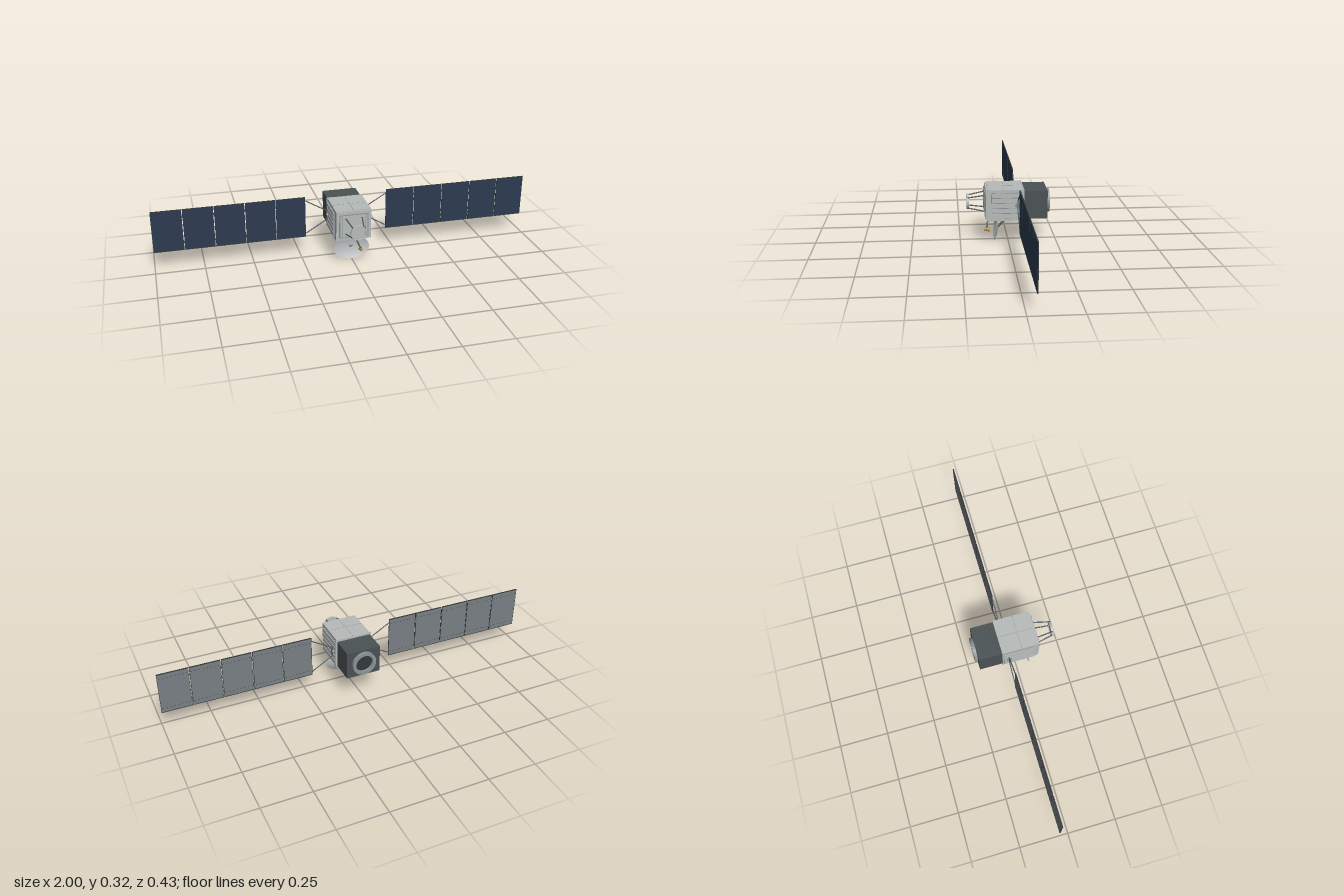
import * as THREE from 'three';

const mat = (name, color, side = THREE.FrontSide) => {
  const m = new THREE.MeshStandardMaterial({ color, side });
  m.name = name;
  return m;
};

export function createModel() {
  const light = mat('light grey hull', 0xb6bbba);
  const mid = mat('mid grey metal', 0x8c9498);
  const dark = mat('dark grey housing', 0x4b5254);
  const strutMat = mat('strut grey', 0x565c60);
  const seamMat = mat('seam grey', 0x34393c);
  const navy = mat('solar cell blue', 0x2c3b50);
  const backing = mat('panel backing grey', 0x787f83);
  const gold = mat('gold', 0xb58a45);
  const dishMat = mat('dish grey', 0xb9bdbd, THREE.DoubleSide);

  const model = new THREE.Group();
  model.name = 'satellite';
  const CY = 0.21; // height of the main axis
  const WZ = -0.045; // depth of the wing plane

  const add = (parent, name, geometry, material, x = 0, y = 0, z = 0) => {
    const mesh = new THREE.Mesh(geometry, material);
    mesh.name = name;
    mesh.position.set(x, y, z);
    parent.add(mesh);
    return mesh;
  };
  const box = (parent, name, material, w, h, d, x, y, z) =>
    add(parent, name, new THREE.BoxGeometry(w, h, d), material, x, y, z);
  // Round rod between two points
  const rod = (parent, name, material, a, b, r0, r1 = r0, sides = 10) => {
    const p = new THREE.Vector3(...a), q = new THREE.Vector3(...b);
    const dir = q.clone().sub(p);
    const mesh = add(parent, name, new THREE.CylinderGeometry(r1, r0, dir.length(), sides), material);
    mesh.position.copy(p).add(q).multiplyScalar(0.5);
    mesh.quaternion.setFromUnitVectors(new THREE.Vector3(0, 1, 0), dir.normalize());
    return mesh;
  };
  // Flat-walled ring with its axis along z
  const ring = (name, material, rOut, rIn, depth, z) => {
    const shape = new THREE.Shape().absarc(0, 0, rOut, 0, Math.PI * 2);
    shape.holes.push(new THREE.Path().absarc(0, 0, rIn, 0, Math.PI * 2, true));
    const g = new THREE.ExtrudeGeometry(shape, { depth, bevelEnabled: false, curveSegments: 32 });
    return add(model, name, g, material, 0, CY, z);
  };

  // Main body with front plates and rear flange
  const body = new THREE.Group();
  body.name = 'body';
  model.add(body);
  box(body, 'hull', light, 0.184, 0.164, 0.182, 0, CY, 0.019);
  box(body, 'frontPlate', light, 0.176, 0.156, 0.01, 0, CY, 0.113);
  box(body, 'frontCover', mid, 0.15, 0.126, 0.004, 0, CY, 0.1195);
  box(body, 'frontPanel', light, 0.142, 0.118, 0.001, 0, CY, 0.122);
  box(body, 'rearFlange', light, 0.194, 0.166, 0.007, 0, CY, -0.0745);
  for (const s of [-1, 1]) {
    for (const x of [0.06, 0.074])
      box(body, 'frontRib', mid, 0.003, 0.12, 0.004, s * x, CY, 0.122);
    // Ribbed radiators on both sides
    box(body, 'sideRadiator', mid, 0.006, 0.134, 0.158, s * 0.093, CY, 0.009);
    for (let i = 0; i < 5; i++)
      box(body, 'radiatorStrip', light, 0.005, 0.022, 0.156, s * 0.0975, CY + (i - 2) * 0.027, 0.009);
    for (const y of [-1, 1])
      box(body, 'flangeLug', light, 0.024, 0.016, 0.007, s * 0.082, CY + y * 0.076, -0.0745);
    // Seams on the roof and the floor
    box(body, 'longSeam', mid, 0.0015, 0.0008, 0.18, 0, CY + s * 0.0823, 0.019);
    box(body, 'crossSeam', mid, 0.182, 0.0008, 0.0015, 0, CY + s * 0.0823, 0.025);
  }

  // Rear housing with its open ring
  box(model, 'rearHousing', dark, 0.18, 0.147, 0.121, 0, CY, -0.1385);
  ring('rearRing', mid, 0.063, 0.046, 0.016, -0.2145);
  add(model, 'rearRingFloor', new THREE.CircleGeometry(0.047, 32), seamMat, 0, CY, -0.1996).rotation.y = Math.PI;

  // Front ring on four struts
  ring('dockingRing', light, 0.04, 0.034, 0.0125, 0.2025);
  add(model, 'dockingRingPlate', new THREE.CylinderGeometry(0.035, 0.035, 0.004, 32), light, 0, CY, 0.207).rotation.x = Math.PI / 2;
  for (const sx of [-1, 1])
    for (const sy of [-1, 1])
      rod(model, 'ringStrut', strutMat, [sx * 0.043, CY + sy * 0.043, 0.118], [sx * 0.028, CY + sy * 0.027, 0.209], 0.0033);

  // Solar wings
  for (const s of [-1, 1]) {
    const wing = new THREE.Group();
    wing.name = s > 0 ? 'leftWing' : 'rightWing';
    model.add(wing);
    rod(wing, 'wingHub', mid, [s * 0.09, CY, WZ], [s * 0.106, CY, WZ], 0.0115, 0.0115, 20);
    box(wing, 'hubBracket', strutMat, 0.005, 0.05, 0.005, s * 0.104, CY, WZ);
    for (const sy of [-1, 1])
      rod(wing, 'yokeArm', strutMat, [s * 0.102, CY + sy * 0.024, WZ], [s * 0.217, CY + sy * 0.092, WZ], 0.0028);

    const pitch = 0.157, w = pitch - 0.004, h = 0.22;
    for (let i = 0; i < 5; i++) {
      const x = s * (0.215 + pitch * (i + 0.5));
      box(wing, 'panelBack', backing, w, h, 0.002, x, CY + 0.001, WZ - 0.001);
      box(wing, 'solarCells', navy, w, h, 0.002, x, CY + 0.001, WZ + 0.001);
      for (const sy of [-1, 1]) {
        box(wing, 'panelEdge', seamMat, w, 0.003, 0.0055, x, CY + 0.001 + sy * 0.1095, WZ);
        for (let k = 0; k < 8; k++) // row of fasteners on the rear
          box(wing, 'fastener', seamMat, 0.007, 0.002, 0.001, x + (k - 3.5) * 0.019, CY + sy * 0.085, WZ - 0.0022);
        if (i < 4) // hinges bridging the gap to the next panel
          box(wing, 'hinge', strutMat, 0.01, 0.012, 0.003, s * (0.215 + pitch * (i + 1)), CY + sy * 0.07, WZ - 0.0015);
      }
      for (const e of [-1, 1])
        box(wing, 'panelSideEdge', seamMat, 0.0015, h, 0.0045, x + e * (w / 2 - 0.0007), CY + 0.001, WZ - 0.0004);
    }
  }

  // Elliptical dish, hollow side forward and slightly up
  const dish = new THREE.Group();
  dish.name = 'dish';
  dish.position.set(0, 0.0645, 0.067);
  dish.rotation.x = -0.115;
  model.add(dish);
  const profile = [];
  for (let i = 0; i <= 10; i++) profile.push(new THREE.Vector2(i / 10, 0.015 * ((i / 10) ** 2 - 1)));
  const bowl = new THREE.LatheGeometry(profile, 40);
  bowl.rotateX(Math.PI / 2);
  bowl.scale(0.095, 0.062, 1);
  add(dish, 'dishBowl', bowl, dishMat);
  add(dish, 'dishCentre', new THREE.SphereGeometry(0.004, 12, 8), strutMat, 0, 0, -0.014);
  for (const s of [-1, 1])
    rod(model, 'dishStrut', strutMat, [s * 0.03, 0.13, -0.002], [s * 0.006, 0.064, 0.054], 0.0028);

  // Feed horn on its arm
  rod(model, 'feedArm', strutMat, [0.012, 0.132, 0.102], [0.04, 0.072, 0.112], 0.004);
  rod(model, 'feedHorn', gold, [0.04, 0.066, 0.098], [0.04, 0.07, 0.126], 0.01, 0.006, 20);
  return model;
}
